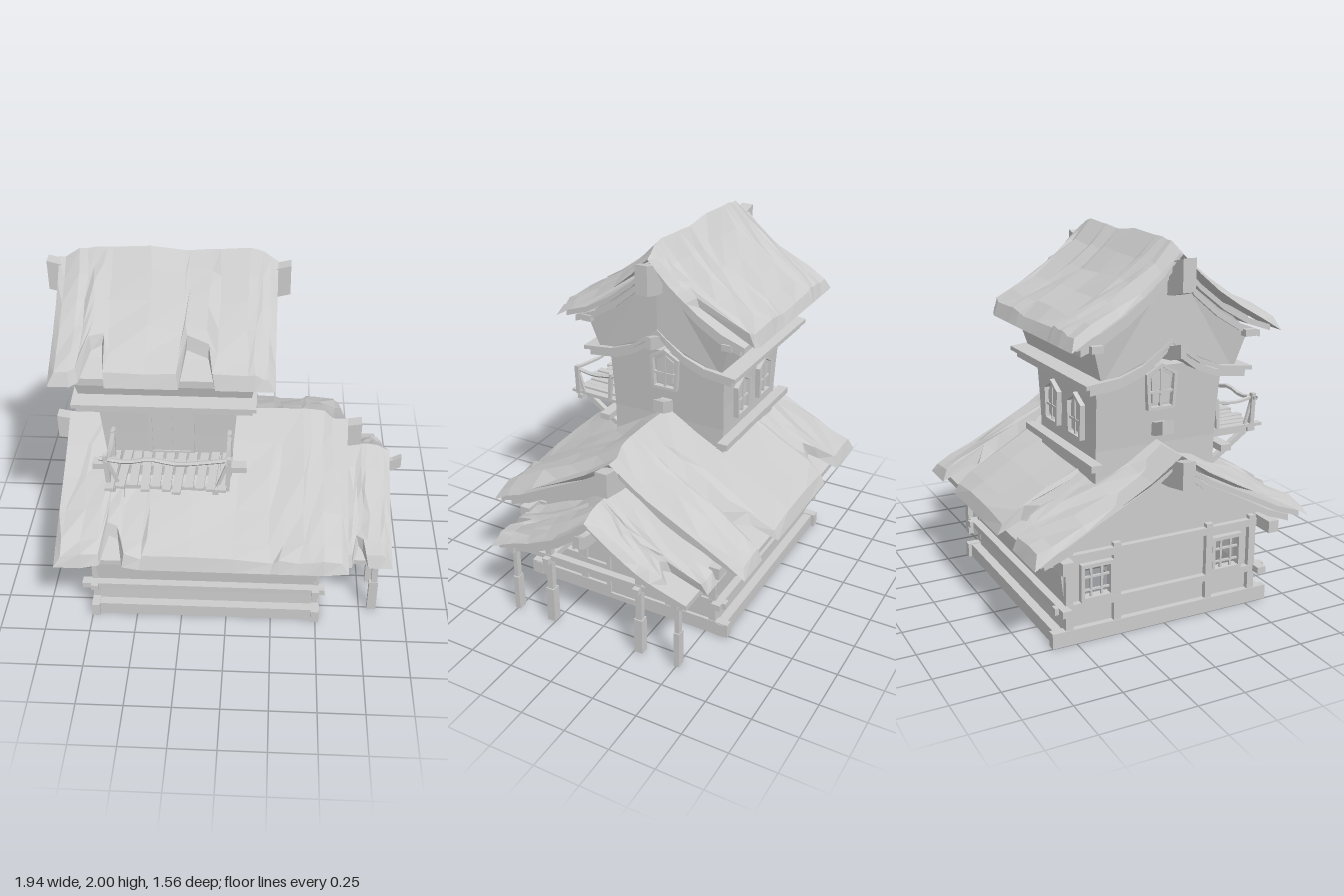
import * as THREE from 'three';

const mat = new THREE.MeshStandardMaterial({ color: 0xcccccc, flatShading: true, side: THREE.DoubleSide });
let seed = 7;
const rnd = () => { seed = (seed * 16807) % 2147483647; return seed / 2147483647 - 0.5; };

export function createModel() {
  const root = new THREE.Group();
  const add = (name, geo) => {
    const m = new THREE.Mesh(geo, mat);
    m.name = name;
    root.add(m);
    return m;
  };
  // box given by its limits on each axis
  const box = (name, x0, x1, y0, y1, z0, z1) => add(name,
    new THREE.BoxGeometry(x1 - x0, y1 - y0, z1 - z0).translate((x0 + x1) / 2, (y0 + y1) / 2, (z0 + z1) / 2));
  // square timber between two points
  const timber = (name, a, b, t) => {
    const p = new THREE.Vector3(...a), q = new THREE.Vector3(...b);
    const m = add(name, new THREE.BoxGeometry(t, p.distanceTo(q), t));
    m.position.copy(p).lerp(q, 0.5);
    m.quaternion.setFromUnitVectors(new THREE.Vector3(0, 1, 0), q.sub(p).normalize());
    return m;
  };
  const bend = (geo, rule) => {
    const p = geo.attributes.position, v = new THREE.Vector3();
    for (let i = 0; i < p.count; i++) {
      rule(v.fromBufferAttribute(p, i));
      p.setXYZ(i, v.x, v.y, v.z);
    }
    geo.computeVertexNormals();
    return geo;
  };
  // (z, y) outline extruded along x
  const along = (pts, x0, x1, holes = []) => {
    const s = new THREE.Shape(pts.map(([z, y]) => new THREE.Vector2(-z, y)));
    holes.forEach(h => s.holes.push(new THREE.Path(h.map(([z, y]) => new THREE.Vector2(-z, y)))));
    return new THREE.ExtrudeGeometry(s, { depth: x1 - x0, bevelEnabled: false }).rotateY(Math.PI / 2).translate(x0, 0, 0);
  };
  const rect = (z0, z1, y0, y1) => [[z0, y0], [z1, y0], [z1, y1], [z0, y1]];
  const mirrored = (half, dy = 0) => [...[...half].reverse().map(([z, y]) => [z, y + dy]),
    ...half.slice(1).map(([z, y]) => [-z, y + dy])];
  // curved board layer that follows a roof profile
  const slab = (name, half, t, x0, x1) =>
    add(name, along([...mirrored(half), ...mirrored(half, -t).reverse()], x0, x1));

  // ragged thatch: columns are [x, front reach, back reach, ridge lift]
  const thatch = (name, half, cols, t) => {
    const n = 5, last = half.length - 1;
    const at = u => {
      const f = Math.min(u, 0.9999) * last, i = Math.floor(f), k = f - i;
      return [0, 1].map(a => half[i][a] + (half[i + 1][a] - half[i][a]) * k);
    };
    const rings = cols.map(([x, f, b, dy], c) => {
      const end = c === 0 ? 1 : c === cols.length - 1 ? -1 : 0, top = [], bot = [];
      for (let i = -n; i <= n; i++) {
        const side = i <= 0 ? 1 : -1, u = Math.abs(i) / n, reach = u * (i <= 0 ? f : b);
        const [zt, yt] = at(Math.abs(i) === n ? reach * 0.95 : reach), [zb, yb] = at(reach);
        const j = i === 0 ? 0 : 0.03;
        top.push([x + end * 0.035 + (end ? 0 : rnd() * j), yt + dy * (1 - u) + rnd() * j, side * zt]);
        bot.push([x, yb - t, side * zb]);
      }
      return [...top, ...bot.reverse()];
    });
    const out = [], m = rings[0].length;
    const quad = (a, b, c, d) => out.push(...a, ...b, ...c, ...a, ...c, ...d);
    for (let i = 0; i + 1 < rings.length; i++) for (let j = 0; j < m; j++) {
      const k = (j + 1) % m;
      quad(rings[i][j], rings[i + 1][j], rings[i + 1][k], rings[i][k]);
    }
    const A = rings[0], Z = rings[rings.length - 1];
    for (let j = 0; j < 2 * n; j++) {
      quad(A[j], A[j + 1], A[m - 2 - j], A[m - 1 - j]);
      quad(Z[j + 1], Z[j], Z[m - 1 - j], Z[m - 2 - j]);
    }
    const g = new THREE.BufferGeometry();
    g.setAttribute('position', new THREE.Float32BufferAttribute(out, 3));
    g.computeVertexNormals();
    add(name, g);
  };
  // ridge beam whose ends lift
  const ridge = (name, x0, x1, y0, y1, w) => add(name, bend(new THREE.BoxGeometry(x1 - x0, y1 - y0, w, 12),
    v => { v.y += 0.04 * Math.pow(Math.abs(v.x) / ((x1 - x0) / 2), 6); }).translate((x0 + x1) / 2, (y0 + y1) / 2, 0));

  // Lower house: open-bottomed walls with windows in both gables
  const winHoles = [-1, 1].map(s => rect(s * 0.38 - 0.08, s * 0.38 + 0.08, 0.23, 0.4));
  const gable = [[0.555, 0], [0.55, 0.2], [0.585, 0.52], [0, 0.92], [-0.585, 0.52], [-0.55, 0.2], [-0.555, 0]];
  for (const s of [-1, 1]) {
    const x = s > 0 ? 0.47 : -0.72;
    add('gableWall', along(gable, x, x + 0.03, winHoles));
    add('longWall', along([[s * 0.555, 0], [s * 0.55, 0.2], [s * 0.585, 0.52], [s * 0.555, 0.52], [s * 0.52, 0.2], [s * 0.525, 0]], -0.72, 0.5));
    box('sillBeam', -0.75, 0.52, 0, 0.075, s * 0.585 - 0.025, s * 0.585 + 0.025);
    box('railBeam', -0.8, 0.545, 0.18, 0.215, s * 0.57 - 0.025, s * 0.57 + 0.025);
    box('wallPlate', -0.86, 0.61, 0.435, 0.5, s * 0.59 - 0.03, s * 0.59 + 0.03);
    const ex = s > 0 ? 0.495 : -0.73;
    box('endSill', ex - 0.022, ex + 0.022, 0, 0.08, -0.63, 0.63);
    box('endRail', ex - 0.02, ex + 0.02, 0.18, 0.215, -0.615, 0.615);
    box('endPlate', ex - 0.02, ex + 0.02, 0.44, 0.48, -0.645, 0.645);
    for (const z of [-0.535, -0.27, 0.27, 0.535]) box('wallPost', ex - 0.018, ex + 0.018, 0, 0.5, z - 0.02, z + 0.02);
    // lattice windows
    for (const w of [-1, 1]) {
      const c = w * 0.38;
      add('windowFrame', along(rect(c - 0.09, c + 0.09, 0.215, 0.415), ex - 0.02, ex + 0.02, [rect(c - 0.072, c + 0.072, 0.235, 0.395)]));
      for (const d of [-0.03, 0.03]) box('windowBar', ex - 0.006, ex + 0.006, 0.23, 0.4, c + d - 0.006, c + d + 0.006);
      for (const y of [0.27, 0.34]) box('windowBar', ex - 0.006, ex + 0.006, y - 0.005, y + 0.005, c - 0.08, c + 0.08);
    }
  }
  add('doorFrame', along(rect(-0.11, 0.11, 0.03, 0.44), 0.49, 0.535, [rect(-0.085, 0.085, 0.05, 0.42)]));
  box('door', 0.49, 0.522, 0.04, 0.43, -0.09, 0.09);

  // Lower roof
  const low = [[0, 1.01], [0.2, 0.87], [0.42, 0.76], [0.65, 0.64], [0.78, 0.56]];
  thatch('lowerThatch', low, [
    [-0.9, 1, 1, -0.1], [-0.76, 1, 1, -0.07], [-0.66, 0.97, 1, -0.04], [-0.62, 0.72, 1, -0.03], [-0.57, 0.74, 0.8, -0.02],
    [-0.54, 0.98, 0.72, 0], [-0.45, 1, 0.78, 0], [-0.42, 1, 1, 0], [-0.2, 1, 1, 0], [0.05, 1, 1, 0], [0.24, 1, 1, 0.01],
    [0.29, 1, 0.75, 0.01], [0.4, 1, 0.66, 0.01], [0.44, 1, 1, 0.01], [0.52, 1, 1.0, 0], [0.65, 0.98, 1, -0.1]], 0.05);
  const lowBoard = [[0, 0.93], [0.2, 0.79], [0.42, 0.68], [0.6, 0.585], [0.74, 0.535]];
  const shrink = (p, k, dy) => p.map(([z, y]) => [z * k, y + dy]);
  slab('lowerRoofBoard', lowBoard, 0.03, -0.87, 0.62);
  slab('lowerRoofTrim', shrink(lowBoard, 0.95, -0.03), 0.035, -0.83, 0.58);
  ridge('lowerRidgeBeam', -0.97, 0.73, 0.77, 0.91, 0.07);

  // Porch
  const por = [[0, 0.79], [0.15, 0.68], [0.3, 0.59], [0.46, 0.52], [0.61, 0.455]];
  thatch('porchThatch', por, [[0.5, 1, 1, 0], [0.62, 1, 1, 0], [0.68, 1, 1, 0], [0.72, 0.8, 1, 0], [0.74, 0.85, 0.68, 0],
    [0.77, 1, 0.62, 0], [0.83, 1, 0.72, -0.01], [0.9, 1, 0.62, -0.03]], 0.045);
  const porBoard = [[0, 0.73], [0.1, 0.645], [0.22, 0.56], [0.38, 0.485], [0.57, 0.43]];
  slab('porchBoard', porBoard, 0.03, 0.5, 0.875);
  slab('porchTrim', shrink(porBoard, 0.94, -0.03), 0.03, 0.5, 0.85);
  ridge('porchRidgeBeam', 0.4, 0.97, 0.6, 0.67, 0.035);
  for (const z of [-0.5, -0.275, 0.275, 0.5]) {
    const w = Math.abs(z) > 0.4 ? 0.016 : 0.024, top = Math.abs(z) > 0.4 ? 0.4 : 0.49;
    box('porchPostFoot', 0.795, 0.845, 0, 0.21, z - w, z + w);
    box('porchPost', 0.805, 0.838, 0.2, top, z - w * 0.75, z + w * 0.75);
    box('porchBeam', 0.46, 0.87, 0.385, 0.42, z - 0.018, z + 0.018);
  }
  box('porchCrossBeam', 0.8, 0.84, 0.4, 0.43, -0.54, 0.54);

  // Tower
  const cx = -0.31;
  add('towerWall', bend(new THREE.BoxGeometry(0.66, 0.68, 0.68, 1, 5, 1).translate(0, 1.02, 0), v => {
    const k = Math.max(0, v.y - 0.9);
    v.x = cx + v.x * (1 + 0.25 * k);
    v.z *= 1 + 0.22 * k * k;
  }));
  ridge('towerBeam', -0.76, 0.14, 0.99, 1.06, 0.065);
  for (const s of [-1, 1]) box('towerSill', -0.72, 0.1, 0.875, 0.91, s * 0.37 - 0.03, s * 0.37 + 0.03);

  // shuttered windows with peaked tops, built facing +x and turned
  const peaked = (name, x, y, z, turn) => {
    const o = (k, h) => [[-0.075 * k, -0.11 * h], [0.075 * k, -0.11 * h], [0.088 * k, 0.075 * h], [0, 0.125 * h], [-0.088 * k, 0.075 * h]];
    const g = new THREE.Group();
    g.name = name;
    const parts = [along(o(1, 1), 0, 0.03, [o(0.8, 0.86)]), along(o(0.6, 0.7), 0, 0.016),
      new THREE.BoxGeometry(0.022, 0.2, 0.012).translate(0.011, 0, 0), new THREE.BoxGeometry(0.022, 0.012, 0.13).translate(0.011, -0.02, 0)];
    for (const p of parts) g.add(new THREE.Mesh(p, mat));
    g.position.set(x, y, z);
    g.rotation.y = turn;
    root.add(g);
  };
  peaked('towerWindowLeft', 0.045, 1.25, 0, 0);
  peaked('towerWindowRight', -0.665, 1.25, 0, Math.PI);
  for (const x of [-0.45, -0.17]) peaked('towerBackWindow', x, 1.09, -0.342, Math.PI / 2);

  // Flared upper storey sitting on a curved ledge
  const ledge = [[0, 1.52], [0.06, 1.47], [0.16, 1.4], [0.28, 1.355], [0.46, 1.335]];
  slab('ledgeBoard', ledge, 0.022, -0.79, 0.15);
  slab('ledgeTrim', shrink(ledge, 0.94, -0.022), 0.035, -0.77, 0.13);
  ridge('ledgeBeam', -0.89, 0.24, 1.4, 1.47, 0.03);
  add('upperWall', bend(along([[0.425, 1.52], [0, 1.88], [-0.425, 1.52], [-0.365, 1.32], [-0.16, 1.37], [0, 1.48], [0.16, 1.37], [0.365, 1.32]], -0.44, 0.44),
    v => { v.x = cx - 0.01 + v.x * (1 + 0.4 * Math.max(0, Math.min(0.18, v.y - 1.34))); }));
  for (const s of [-1, 1]) box('upperPlate', -0.83, 0.18, 1.495, 1.53, s * 0.42 - 0.03, s * 0.42 + 0.03);

  // Upper roof
  const up = [[0, 1.98], [0.12, 1.86], [0.26, 1.75], [0.43, 1.655], [0.57, 1.57]];
  thatch('upperThatch', up, [
    [-0.87, 1, 1, -0.05], [-0.76, 1, 1, 0], [-0.72, 0.96, 1, 0], [-0.67, 0.7, 1, 0.01], [-0.62, 0.66, 1, 0.01], [-0.59, 1, 1, 0.01],
    [-0.4, 1, 1, 0.02], [-0.23, 1, 1, 0.0], [-0.2, 0.68, 1, 0.0], [-0.09, 0.74, 1, 0.01], [-0.05, 1, 1, 0.01],
    [0.1, 1, 1, 0.02], [0.14, 1, 0.98, 0.01], [0.17, 1, 0.5, 0], [0.24, 1, 0.42, -0.03]], 0.05);
  const upBoard = [[0, 1.91], [0.12, 1.78], [0.26, 1.67], [0.4, 1.59], [0.53, 1.545]];
  slab('upperRoofBoard', upBoard, 0.03, -0.83, 0.2);
  slab('upperRoofTrim', shrink(upBoard, 0.93, -0.03), 0.035, -0.8, 0.17);
  ridge('upperRidgeBeam', -0.93, 0.305, 1.72, 1.88, 0.07);

  // Balcony: door, uneven planks, crooked rails and braces
  add('balconyDoorFrame', along(rect(-0.12, 0.12, 0.97, 1.26), 0, 0.025, [rect(-0.1, 0.1, 0.98, 1.24)])
    .rotateY(-Math.PI / 2).translate(-0.295, 0, 0.335));
  box('balconyDoor', -0.4, -0.19, 0.97, 1.25, 0.33, 0.352);
  box('balconyDoorSplit', -0.3, -0.29, 0.98, 1.24, 0.34, 0.358);
  for (let i = 0; i < 11; i++) {
    const p = box('balconyPlank', -0.022, 0.022, -0.008, 0.008, -0.16, 0.16 + rnd() * 0.05);
    p.position.set(-0.59 + i * 0.058, 0.955 + rnd() * 0.008, 0.49);
    p.rotation.y = rnd() * 0.12;
  }
  box('balconyBeam', -0.61, 0.02, 0.92, 0.945, 0.575, 0.605);
  for (const x of [-0.58, -0.05]) {
    box('balconyJoist', x - 0.015, x + 0.015, 0.915, 0.945, 0.3, 0.63);
    timber('balconyBrace', [x, 0.92, 0.57], [x, 0.76, 0.34], 0.028);
  }
  const rail = (name, pts, r) => add(name, new THREE.TubeGeometry(
    new THREE.CatmullRomCurve3(pts.map(p => new THREE.Vector3(...p))), 12, r, 5));
  rail('frontRail', [[-0.64, 1.11, 0.6], [-0.5, 1.09, 0.6], [-0.38, 1.11, 0.6], [-0.25, 1.085, 0.6], [-0.1, 1.1, 0.6], [0.03, 1.12, 0.6]], 0.012);
  for (const x of [-0.6, 0.01]) {
    const s = x < -0.3 ? 1 : -1;
    rail('sideRail', [[x, 1.11, 0.62], [x, 1.09, 0.5], [x, 1.11, 0.34]], 0.011);
    timber('railPost', [x, 0.95, 0.6], [x - s * 0.01, 1.13, 0.6], 0.024);
    timber('railStrut', [x + s * 0.05, 0.95, 0.6], [x, 1.09, 0.6], 0.016);
    timber('railPost', [x, 0.95, 0.39], [x, 1.12, 0.38], 0.02);
    timber('railStrut', [x, 0.96, 0.56], [x, 1.09, 0.6], 0.014);
  }
  return root;
}
